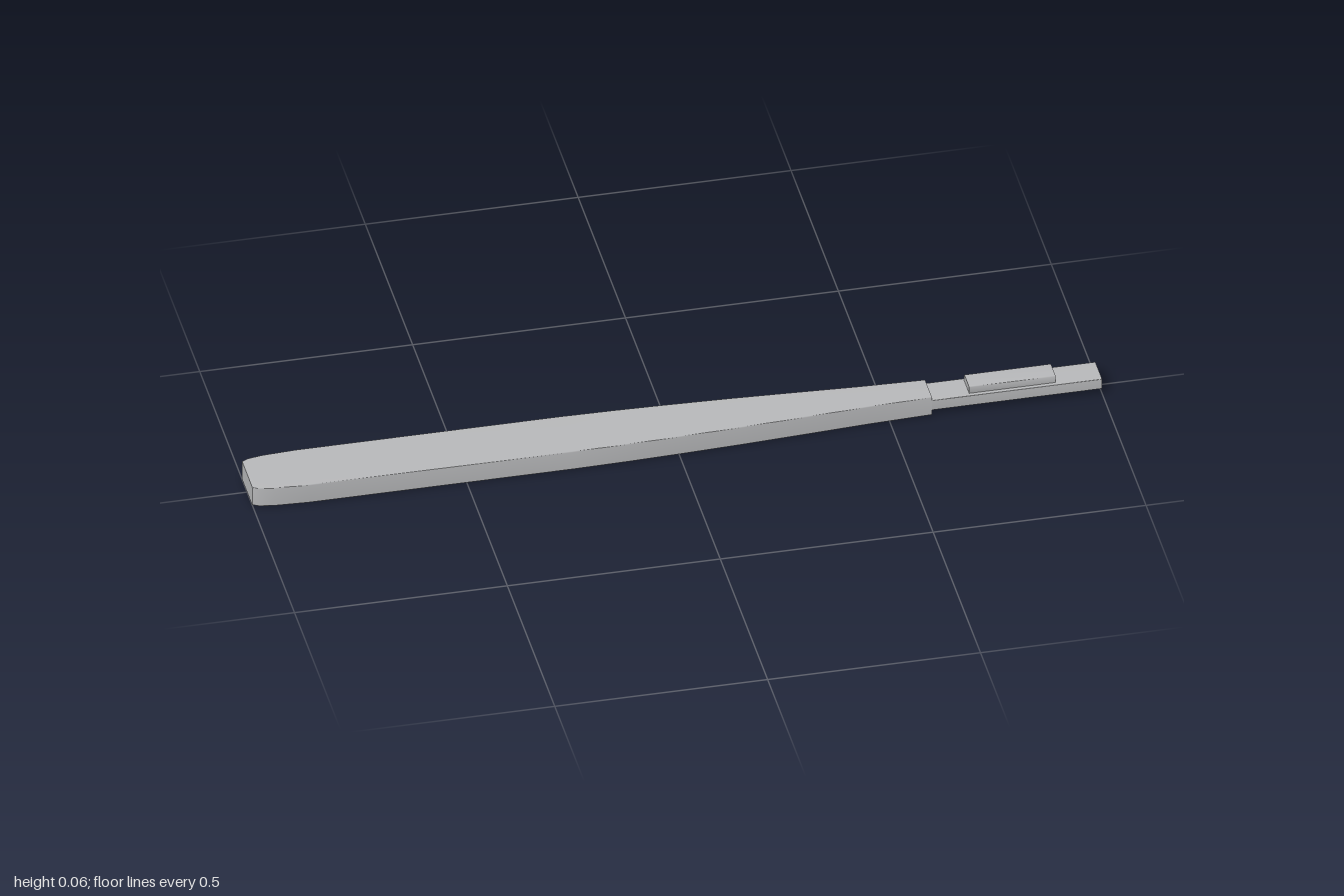
import * as THREE from 'three';

// Bar along x: softened-corner rectangles joined through stations [x, halfWidth], closed by flat ends.
function bar(name, material, stations, y0, y1, c) {
  const pos = [], index = [];
  const ring = ([x, w]) => [
    [x, y0, w - c], [x, y0 + c, w], [x, y1 - c, w], [x, y1, w - c],
    [x, y1, c - w], [x, y1 - c, -w], [x, y0 + c, -w], [x, y0, c - w],
  ];
  const n = 8;
  stations.forEach((s) => ring(s).forEach((p) => pos.push(...p)));
  for (let i = 0; i < stations.length - 1; i++) {
    for (let j = 0; j < n; j++) {
      const a = i * n + j, b = i * n + (j + 1) % n;
      index.push(a, a + n, b, b, a + n, b + n);
    }
  }
  // End caps have their own vertices so their edges stay sharp
  [stations[0], stations[stations.length - 1]].forEach((s, end) => {
    const base = pos.length / 3;
    ring(s).forEach((p) => pos.push(...p));
    for (let j = 1; j < n - 1; j++) {
      if (end === 0) index.push(base, base + j, base + j + 1);
      else index.push(base, base + j + 1, base + j);
    }
  });
  const geometry = new THREE.BufferGeometry();
  geometry.setAttribute('position', new THREE.Float32BufferAttribute(pos, 3));
  geometry.setIndex(index);
  geometry.computeVertexNormals();
  const mesh = new THREE.Mesh(geometry, material);
  mesh.name = name;
  return mesh;
}

export function createModel() {
  const group = new THREE.Group();
  group.name = 'bladeHandle';
  const steel = new THREE.MeshStandardMaterial({ color: 0xb8b9bb });
  steel.name = 'brushed steel';

  // Broad grip, tapering towards the neck
  const outline = [
    [-1, 0.055], [-0.985, 0.063], [-0.95, 0.069], [-0.87, 0.0735], [-0.25, 0.0735],
    [-0.12, 0.071], [0, 0.067], [0.15, 0.0605], [0.3, 0.052], [0.45, 0.043], [0.6, 0.037],
  ];
  group.add(bar('handle', steel, outline, 0, 0.05, 0.002));

  // Thin tang with the raised rib that locates the blade
  group.add(bar('tang', steel, [[0.59, 0.036], [1, 0.036]], 0.013, 0.04, 0.001));
  group.add(bar('bladeRib', steel, [[0.69, 0.026], [0.893, 0.026]], 0.038, 0.058, 0.002));
  return group;
}
